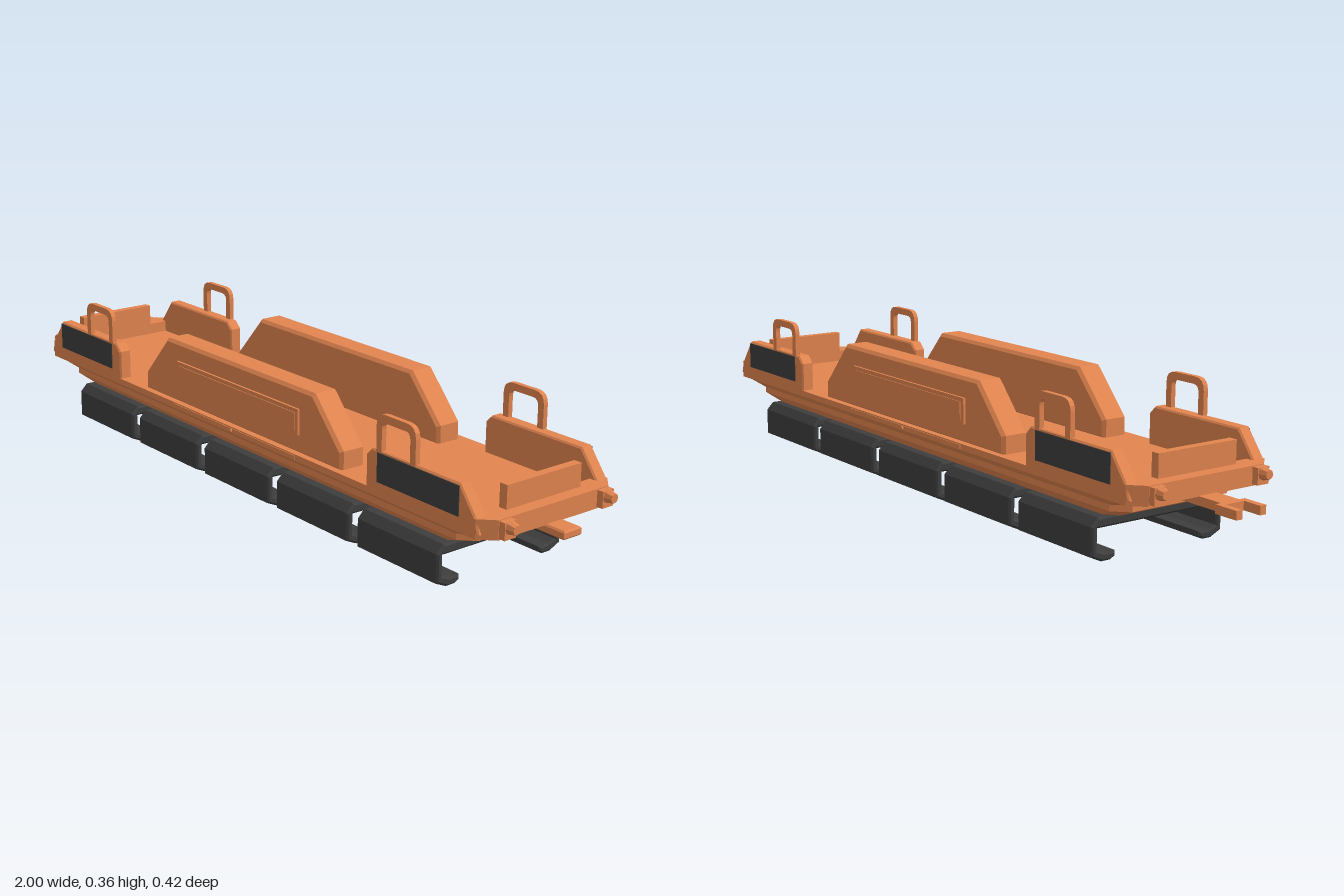
import * as THREE from 'three';

const orange = new THREE.MeshStandardMaterial({ color: 0xe2854f, flatShading: true });
const dark = new THREE.MeshStandardMaterial({ color: 0x3e3e3e, flatShading: true });

function add(parent, name, geometry, material = orange) {
  const mesh = new THREE.Mesh(geometry, material);
  mesh.name = name;
  parent.add(mesh);
  return mesh;
}

// Box given by its limits
function box(x0, x1, y0, y1, z0, z1) {
  return new THREE.BoxGeometry(x1 - x0, y1 - y0, z1 - z0)
    .translate((x0 + x1) / 2, (y0 + y1) / 2, (z0 + z1) / 2);
}

const outline = (pts) => new THREE.Shape(pts.map(([x, y]) => new THREE.Vector2(x, y)));

// Extrude an x/y outline between two z values, with an optional inward bevel
function slab(shape, z0, z1, bevel = 0) {
  return new THREE.ExtrudeGeometry(shape, {
    depth: z1 - z0 - 2 * bevel, bevelEnabled: bevel > 0, bevelThickness: bevel,
    bevelSize: bevel, bevelOffset: -bevel, bevelSegments: 1, curveSegments: 4,
  }).translate(0, 0, z0 + bevel);
}

// Stack of chamfered rectangles: levels are [y, half length, half width, chamfer]
function loft(levels) {
  const pos = [], idx = [];
  for (const [y, a, b, c] of levels) {
    for (const [x, z] of [[a, b - c], [a - c, b], [c - a, b], [-a, b - c],
      [-a, c - b], [c - a, -b], [a - c, -b], [a, c - b]]) pos.push(x, y, z);
  }
  for (let l = 0; l < levels.length - 1; l++) {
    for (let i = 0; i < 8; i++) {
      const p = l * 8 + i, q = l * 8 + (i + 1) % 8;
      idx.push(p, p + 8, q, q, p + 8, q + 8);
    }
  }
  const top = (levels.length - 1) * 8;
  for (let i = 1; i < 7; i++) {
    idx.push(0, i, i + 1, top, top + i + 1, top + i);
  }
  const g = new THREE.BufferGeometry();
  g.setAttribute('position', new THREE.Float32BufferAttribute(pos, 3));
  g.setIndex(idx);
  // Loops run clockwise seen from above, so flip every triangle to face outward
  const flat = g.toNonIndexed();
  const a = flat.attributes.position;
  const v = new THREE.Vector3(), n = new THREE.Vector3(), e = new THREE.Vector3();
  const centre = new THREE.Vector3(0, (levels[0][0] + levels[levels.length - 1][0]) / 2, 0);
  for (let i = 0; i < a.count; i += 3) {
    const p = [0, 1, 2].map((k) => new THREE.Vector3().fromBufferAttribute(a, i + k));
    n.crossVectors(v.subVectors(p[1], p[0]), e.subVectors(p[2], p[0]));
    if (n.dot(v.subVectors(p[0], centre)) < 0) {
      a.setXYZ(i + 1, p[2].x, p[2].y, p[2].z);
      a.setXYZ(i + 2, p[1].x, p[1].y, p[1].z);
    }
  }
  flat.computeVertexNormals();
  return flat;
}

// Rounded carrying loop
function handleShape(x0, x1, y0, y1, r, t) {
  const trace = (p, a, b, top, k) => {
    p.moveTo(a, y0);
    p.lineTo(b, y0);
    p.lineTo(b, top - k);
    p.quadraticCurveTo(b, top, b - k, top);
    p.lineTo(a + k, top);
    p.quadraticCurveTo(a, top, a, top - k);
    p.closePath();
    return p;
  };
  const s = trace(new THREE.Shape(), x0, x1, y1, r);
  const hole = new THREE.Path();
  const a = x0 + t, b = x1 - t, top = y1 - t, k = r * 0.6;
  hole.moveTo(a, y0 + t / 2);
  hole.lineTo(a, top - k);
  hole.quadraticCurveTo(a, top, a + k, top);
  hole.lineTo(b - k, top);
  hole.quadraticCurveTo(b, top, b, top - k);
  hole.lineTo(b, y0 + t / 2);
  s.holes.push(hole);
  return s;
}

export function createModel() {
  const model = new THREE.Group();
  model.name = 'flatCar';
  const body = new THREE.Group();
  body.name = 'carBody';
  body.position.x = 0.04;
  model.add(body);

  // Deck and the tapered hull beneath it
  add(body, 'hull', loft([[0.104, 0.76, 0.15, 0.03], [0.128, 0.82, 0.175, 0.035],
    [0.143, 0.82, 0.175, 0.035], [0.165, 0.88, 0.2, 0.035]]));
  add(body, 'deck', loft([[0.164, 0.905, 0.203, 0.035], [0.18, 0.905, 0.203, 0.035]]));

  // Dark C-shaped clamps hanging below the hull
  const half = [[0.175, 0.105], [0.194, 0.085], [0.194, 0.016], [0.163, 0.002], [0.138, 0.002],
    [0.125, 0.009], [0.125, 0.022], [0.155, 0.022], [0.176, 0.03], [0.176, 0.08]];
  const clampShape = outline([...half, ...half.map(([x, y]) => [-x, y]).reverse()]);
  const clampGeometry = slab(clampShape, -0.1375, 0.1375, 0.005).rotateY(Math.PI / 2);
  for (let i = -2; i <= 2; i++) {
    add(body, 'clamp', clampGeometry, dark).position.x = i * 0.306;
  }

  // Parts on both long sides: the back is the front turned half way round
  for (const turn of [0, Math.PI]) {
    const side = new THREE.Group();
    side.name = turn ? 'backSide' : 'frontSide';
    side.rotation.y = turn;
    body.add(side);

    add(side, 'middleWall', slab(outline([[-0.41, 0.175], [0.41, 0.175], [0.41, 0.225],
      [0.305, 0.34], [-0.305, 0.34], [-0.41, 0.225]]), 0.115, 0.188, 0.008));
    add(side, 'wallPanel', box(-0.255, 0.255, 0.225, 0.29, 0.18, 0.194));
    add(side, 'wallPanelInset', box(-0.243, 0.243, 0.235, 0.28, 0.19, 0.196));
    add(side, 'edgeStrip', box(-0.255, 0.255, 0.166, 0.177, 0.2, 0.205));
    add(side, 'edgePin', new THREE.CylinderGeometry(0.005, 0.005, 0.012, 6)
      .rotateX(Math.PI / 2).translate(0, 0.171, 0.203));

    for (const s of [-1, 1]) {
      const pts = [[0.515, 0.175], [0.88, 0.175], [0.87, 0.21], [0.82, 0.275],
        [0.535, 0.275], [0.515, 0.255]].map(([x, y]) => [x * s, y]);
      add(side, 'cornerWall', slab(outline(pts), 0.168, 0.203, 0.004));
      add(side, 'cornerPanel', box(Math.min(s * 0.555, s * 0.82), Math.max(s * 0.555, s * 0.82),
        0.2, 0.27, 0.195, 0.205), dark);
      add(side, 'handle', slab(handleShape(Math.min(s * 0.55, s * 0.68),
        Math.max(s * 0.55, s * 0.68), 0.265, 0.363, 0.03, 0.018), 0.19, 0.203));
    }
  }

  // End sills, end boards and corner buffers
  for (const turn of [0, Math.PI]) {
    const end = new THREE.Group();
    end.name = turn ? 'rightEnd' : 'leftEnd';
    end.rotation.y = turn;
    body.add(end);
    const sill = outline([[0.85, 0.203], [0.87, 0.203], [0.905, 0.168], [0.905, -0.168],
      [0.87, -0.203], [0.85, -0.203]]);
    add(end, 'endSill', slab(sill, 0.17, 0.21).rotateX(-Math.PI / 2));
    add(end, 'endBoard', box(0.85, 0.872, 0.175, 0.266, -0.114, 0.114));
    for (const z of [-0.15, 0.15]) {
      add(end, 'bufferBase', box(0.89, 0.922, 0.168, 0.208, z - 0.017, z + 0.017));
      add(end, 'buffer', new THREE.CylinderGeometry(0.011, 0.017, 0.022, 8)
        .rotateZ(-Math.PI / 2).translate(0.93, 0.194, z));
    }
  }

  // Tongue coupling at one end, forked coupling at the other
  const tongue = outline([[0.75, 0.027], [0.96, 0.027], [0.96, -0.027], [0.75, -0.027]]);
  add(body, 'couplingTongue', slab(tongue, 0.145, 0.166, 0.004).rotateX(-Math.PI / 2));
  const fork = outline([[-0.78, 0.027], [-0.975, 0.027], [-0.975, 0.043], [-1.04, 0.043],
    [-1.04, 0.026], [-0.99, 0.026], [-0.99, -0.026], [-1.04, -0.026], [-1.04, -0.043],
    [-0.975, -0.043], [-0.975, -0.027], [-0.78, -0.027]]);
  add(body, 'couplingFork', slab(fork, 0.145, 0.166).rotateX(-Math.PI / 2));

  return model;
}
